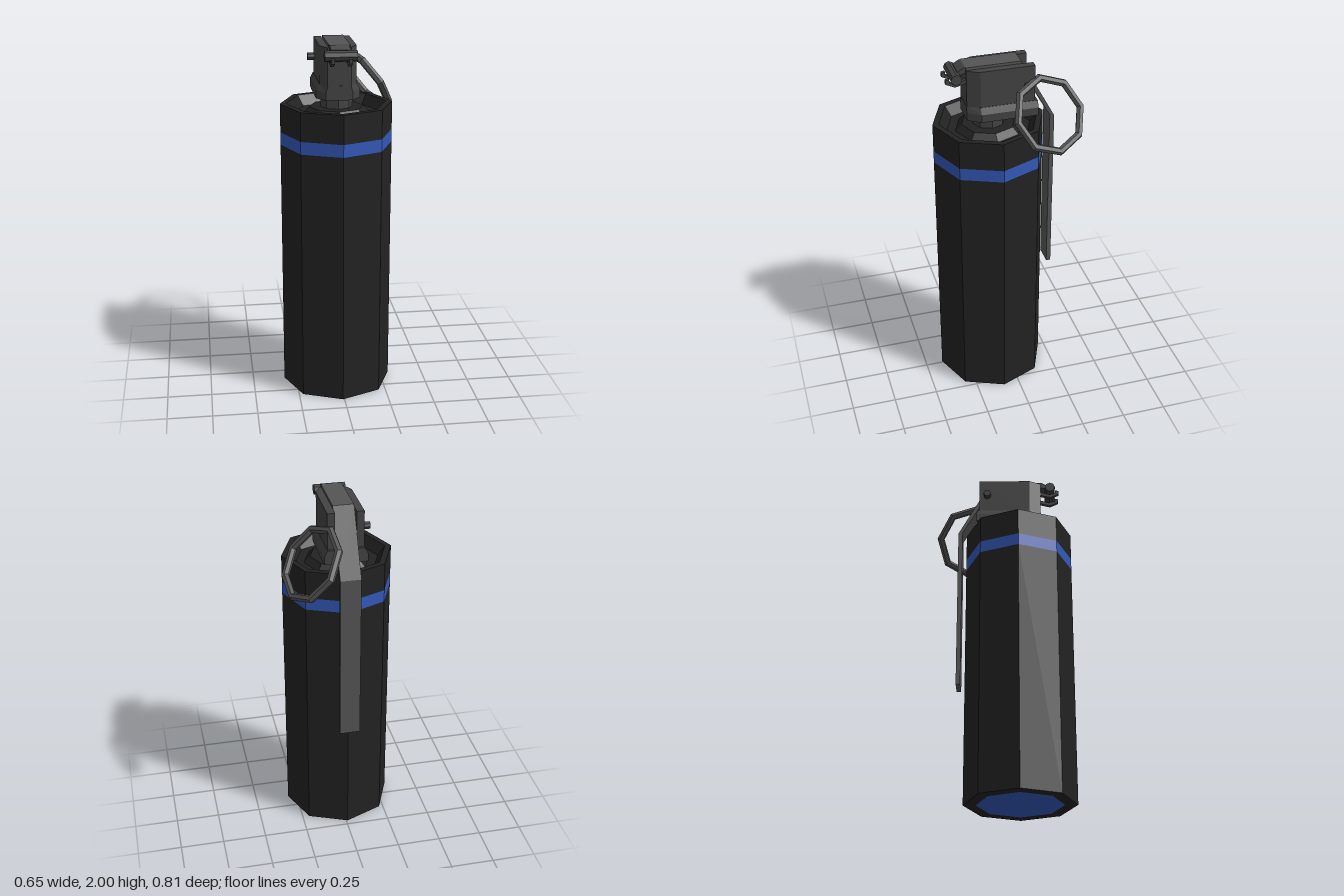
import * as THREE from 'three';

const XC = -0.008; // axis of canister and head
const ZC = 0.092;

const mat = (color, side = THREE.FrontSide) =>
  new THREE.MeshStandardMaterial({ color, flatShading: true, side });
const BODY = mat(0x222222);
const BLUE = mat(0x3358b8);
const HEAD = mat(0x434343);
const STEEL = mat(0x555555);

function part(parent, name, geometry, material, x = 0, y = 0, z = 0) {
  const mesh = new THREE.Mesh(geometry, material);
  mesh.name = name;
  mesh.position.set(x, y, z);
  parent.add(mesh);
  return mesh;
}

const points = (list) => list.map(([a, b]) => new THREE.Vector2(a, b));

// Eight-sided turned part
const turned = (profile) => new THREE.LatheGeometry(points(profile), 8);

// Plan outline (x, z) raised from y0 to y1, with an optional narrower top
function prism(plan, y0, y1, topScale = 1) {
  const g = new THREE.ExtrudeGeometry(new THREE.Shape(points(plan)), { depth: y1 - y0, bevelEnabled: false });
  g.rotateX(Math.PI / 2).translate(0, y1, 0);
  const p = g.attributes.position;
  for (let i = 0; i < p.count; i++) {
    if (p.getY(i) > (y0 + y1) / 2) p.setX(i, p.getX(i) * topScale);
  }
  g.computeVertexNormals();
  return g;
}

// Side outline (z, y) extruded across x
function sideSlab(outline, width) {
  const g = new THREE.ExtrudeGeometry(new THREE.Shape(points(outline)), { depth: width, bevelEnabled: false });
  return g.rotateY(-Math.PI / 2).translate(width / 2, 0, 0);
}

const mirrored = (half) => [...half, ...half.slice().reverse().map(([x, z]) => [-x, z])];

export function createModel() {
  const model = new THREE.Group();
  model.name = 'canister';

  // Canister body, colour band, recessed top and base disc
  const body = new THREE.Group();
  body.name = 'body';
  body.position.set(XC, 0, ZC);
  model.add(body);
  part(body, 'lowerShell', turned([[0.24, 0], [0.31, 0], [0.31, 1.43]]), BODY);
  part(body, 'colourBand', turned([[0.31, 1.43], [0.31, 1.5]]), BLUE);
  part(body, 'upperShell', turned([[0.31, 1.5], [0.31, 1.66], [0.275, 1.66], [0.235, 1.605],
    [0.185, 1.605], [0.15, 1.64], [0.088, 1.64]]), BODY);
  part(body, 'baseDisc', turned([[0, 0], [0.24, 0]]), BLUE);
  part(body, 'neck', turned([[0.088, 1.62], [0.088, 1.72]]), HEAD);

  // Fuze head: flange, chamfer and slotted block
  const head = new THREE.Group();
  head.name = 'fuzeHead';
  head.position.x = XC;
  model.add(head);
  const flangePlan = mirrored([[0.12, -0.155], [0.12, 0.16], [0.072, 0.228]]);
  part(head, 'flange', prism(flangePlan, 1.7, 1.745), HEAD);
  part(head, 'flangeChamfer', prism(flangePlan, 1.745, 1.78, 0.85), HEAD);
  part(head, 'headBlock', prism(mirrored([[0.058, -0.06], [0.058, -0.14], [0.1, -0.14],
    [0.1, 0.16], [0.065, 0.226]]), 1.76, 1.985), HEAD);

  // Lever: over the head, down the slope and along the body
  part(model, 'lever', sideSlab([[0.225, 2], [-0.075, 2], [-0.265, 1.65], [-0.265, 0.68],
    [-0.24, 0.68], [-0.24, 1.655], [-0.06, 1.975], [0.225, 1.975]], 0.115), STEEL, XC);

  // Hinge: lever tongue, cross bar and two hooks beneath it
  const hinge = new THREE.Group();
  hinge.name = 'hinge';
  hinge.position.x = XC;
  model.add(hinge);
  part(hinge, 'leverTongue', sideSlab([[0.22, 2], [0.235, 2], [0.27, 1.98],
    [0.27, 1.955], [0.22, 1.97]], 0.105), HEAD);
  const bar = new THREE.CylinderGeometry(0.03, 0.03, 0.175, 8).rotateZ(Math.PI / 2);
  part(hinge, 'crossBar', bar, HEAD, 0, 1.95, 0.283);
  const hook = sideSlab([[0.22, 1.935], [0.28, 1.915], [0.315, 1.925], [0.315, 1.945],
    [0.335, 1.94], [0.335, 1.918], [0.285, 1.895], [0.22, 1.912]], 0.02);
  for (const side of [-1, 1]) part(hinge, 'hook', hook, HEAD, side * 0.047);

  // Safety pin through the head, with a thicker end on the right
  const rod = (r, length) => new THREE.CylinderGeometry(r, r, length, 8).rotateZ(Math.PI / 2);
  part(model, 'safetyPin', rod(0.014, 0.26), HEAD, 0, 1.88, -0.093);
  part(model, 'pinEnd', rod(0.021, 0.036), HEAD, -0.13, 1.88, -0.093);

  // Eight-sided pull ring hanging at a tilt
  const ring = part(model, 'pullRing', new THREE.TorusGeometry(0.202, 0.022, 6, 8), STEEL, 0.188, 1.735, -0.192);
  const u = new THREE.Vector3(0.067, 0.01, 0.21).normalize();
  const n = u.clone().cross(new THREE.Vector3(-0.122, 0.19, 0.035)).normalize();
  ring.quaternion.setFromRotationMatrix(new THREE.Matrix4().makeBasis(u, n.clone().cross(u), n));

  return model;
}
